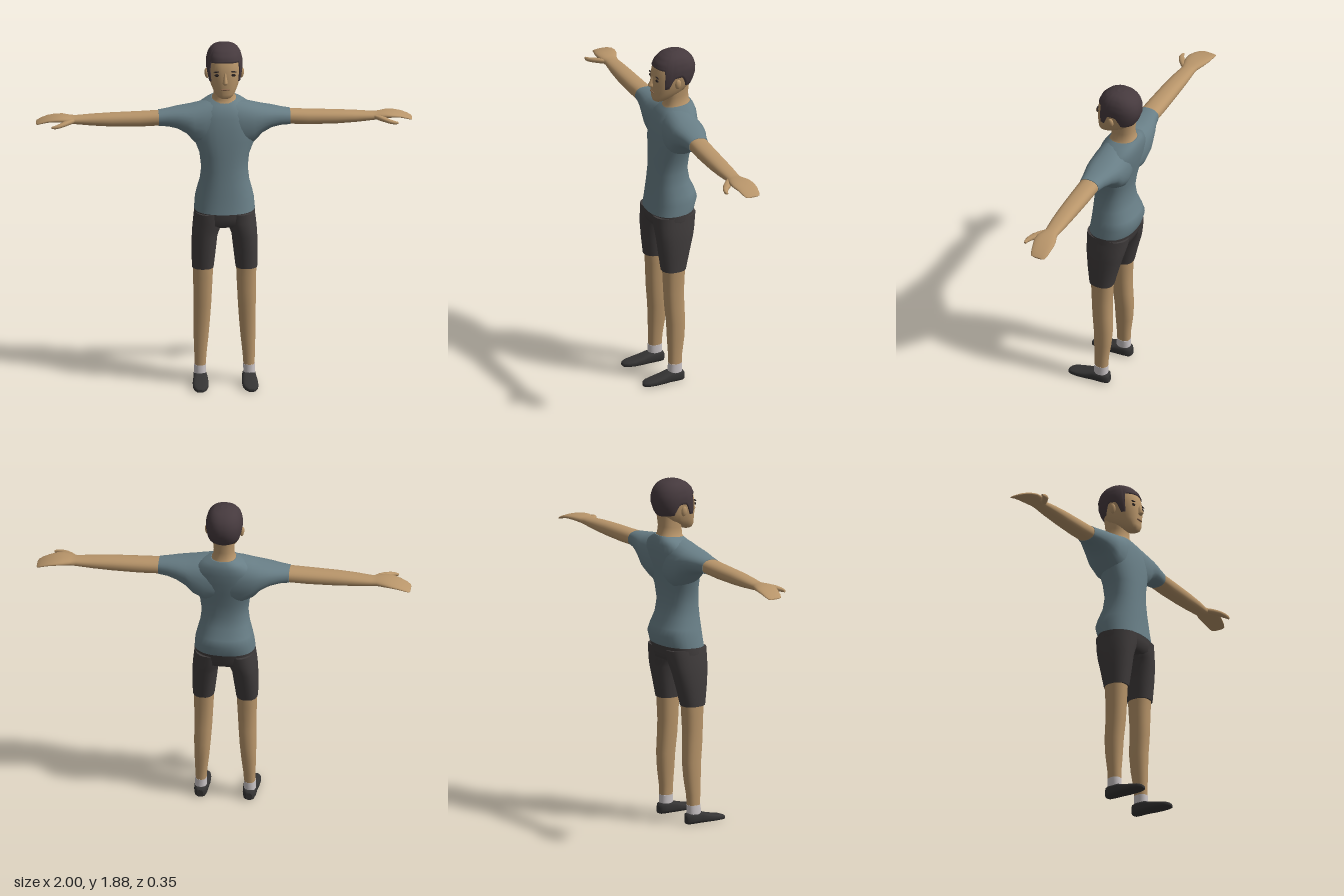
import * as THREE from 'three';

const mat = (color) => new THREE.MeshStandardMaterial({ color, roughness: 0.9 });
const SKIN = mat(0xb8956a), SHIRT = mat(0x687e86), SHORTS = mat(0x403c3c);
const HAIR = mat(0x463a3e), SHOE = mat(0x353434), SOCK = mat(0xcac4c6), DARK = mat(0x2e2624), LIP = mat(0x8d6a4e);

const pow = (v, n) => Math.sign(v) * Math.abs(v) ** (2 / n);

// Grid of points (rows x seg, closed around) to an indexed, optionally capped geometry
function skin(rows, caps = true) {
  const seg = rows[0].length, pos = [], idx = [];
  rows.forEach((r) => r.forEach((p) => pos.push(...p)));
  for (let i = 0; i < rows.length - 1; i++) {
    for (let j = 0; j < seg; j++) {
      const a = i * seg + j, b = i * seg + (j + 1) % seg;
      idx.push(a, a + seg, b, b, a + seg, b + seg);
    }
  }
  if (caps) {
    [rows[0], rows[rows.length - 1]].forEach((r, end) => {
      const c = pos.length / 3;
      pos.push(...[0, 1, 2].map((k) => r.reduce((s, p) => s + p[k], 0) / seg));
      r.forEach((p) => pos.push(...p));
      for (let j = 0; j < seg; j++) {
        const a = c + 1 + j, b = c + 1 + (j + 1) % seg;
        idx.push(c, end ? b : a, end ? a : b);
      }
    });
  }
  const g = new THREE.BufferGeometry();
  g.setAttribute('position', new THREE.Float32BufferAttribute(pos, 3));
  g.setIndex(idx);
  g.computeVertexNormals();
  return g;
}

// Rounded cross-sections along an axis; a row is [t, min1, max1, min2, max2]
// with extents (x,z) for axis y, (y,z) for axis x and (x,y) for axis z
function loft(axis, rows, { n = 2.3, seg = 24, tilt = 0 } = {}) {
  return skin(rows.map(([t, a0, a1, b0, b1]) => Array.from({ length: seg }, (_, j) => {
    const th = j / seg * Math.PI * 2, c = pow(Math.cos(th), n), s = pow(Math.sin(th), n);
    const mid = (lo, hi, k) => (lo + hi) / 2 + (hi - lo) / 2 * k;
    if (axis === 'y') return [mid(a0, a1, c), t + tilt * s, mid(b0, b1, s)];
    if (axis === 'x') return [t, mid(a0, a1, s), mid(b0, b1, c)];
    return [mid(a0, a1, s), mid(b0, b1, c), t];
  })));
}

function mirrored(geo) {
  const g = geo.clone().scale(-1, 1, 1), a = g.index.array;
  for (let i = 0; i < a.length; i += 3) [a[i], a[i + 1]] = [a[i + 1], a[i]];
  g.computeVertexNormals();
  return g;
}

// Symmetric rows: [y, half width, back z, front z]
const sym = (rows) => rows.map(([y, w, z0, z1]) => [y, -w, w, z0, z1]);

const HEAD = [
  [1.598, 0.022, 0.01, 0.052], [1.605, 0.036, -0.01, 0.062], [1.625, 0.054, -0.045, 0.067],
  [1.66, 0.072, -0.115, 0.068], [1.70, 0.084, -0.148, 0.07], [1.75, 0.091, -0.166, 0.067],
  [1.79, 0.091, -0.167, 0.058], [1.825, 0.082, -0.155, 0.042], [1.85, 0.066, -0.132, 0.015],
  [1.864, 0.044, -0.105, -0.015], [1.87, 0.012, -0.07, -0.045]];
const HEAD_N = 2.3;

function headAt(y) {
  let i = 0;
  while (i < HEAD.length - 2 && HEAD[i + 1][0] < y) i++;
  const k = (y - HEAD[i][0]) / (HEAD[i + 1][0] - HEAD[i][0]);
  const [, w, z0, z1] = HEAD[i].map((v, m) => v + (HEAD[i + 1][m] - v) * k);
  return { w, cz: (z0 + z1) / 2, rz: (z1 - z0) / 2 };
}
const faceZ = (x, y) => {
  const { w, cz, rz } = headAt(y);
  return cz + rz * (1 - Math.abs(x / w) ** HEAD_N) ** (1 / HEAD_N);
};

// Hairline height by angle from the face: fringe, sideburn, ear gap, nape
const HAIRLINE = [[0, 1.80], [0.92, 1.795], [0.98, 1.69], [1.28, 1.69], [1.36, 1.75],
  [1.68, 1.755], [2.05, 1.695], [Math.PI, 1.685]];
function hairline(f) {
  let i = 0;
  while (i < HAIRLINE.length - 2 && HAIRLINE[i + 1][0] < f) i++;
  const [f0, y0] = HAIRLINE[i], [f1, y1] = HAIRLINE[i + 1];
  return y0 + (y1 - y0) * (f - f0) / (f1 - f0);
}
function hairGeometry() {
  const seg = 80, rows = [];
  for (let i = 0; i <= 14; i++) {
    const v = Math.max(0, i - 1) / 13, puff = i ? 0.006 : -0.002;
    rows.push(Array.from({ length: seg }, (_, j) => {
      const th = j / seg * Math.PI * 2, c = pow(Math.cos(th), HEAD_N), s = pow(Math.sin(th), HEAD_N);
      const f = Math.acos(Math.sin(th)), base = hairline(f);
      const y = base + (1.87 - base) * (1 - (1 - v) ** 1.6);
      const { w, cz, rz } = headAt(y);
      return [(w + puff) * c, y + puff * v, cz + (rz + puff) * s];
    }));
  }
  return skin(rows);
}

export function createModel() {
  const model = new THREE.Group();
  const add = (name, geo, material, parent = model) => {
    const m = new THREE.Mesh(geo, material);
    m.name = name;
    parent.add(m);
    return m;
  };
  const pair = (name, geo, material, parent) => {
    add('left' + name, geo, material, parent);
    add('right' + name, mirrored(geo), material, parent);
  };
  const ball = (sx, sy, sz, x, y, z, rot = 0) =>
    new THREE.SphereGeometry(1, 14, 10).scale(sx, sy, sz).rotateZ(rot).translate(x, y, z);

  // Shirt
  add('shirtBody', loft('y', sym([
    [0.972, 0.162, -0.152, 0.1], [1.03, 0.157, -0.17, 0.092], [1.07, 0.148, -0.157, 0.088],
    [1.13, 0.132, -0.13, 0.082], [1.2, 0.124, -0.119, 0.076], [1.28, 0.133, -0.128, 0.072],
    [1.36, 0.165, -0.144, 0.068], [1.43, 0.182, -0.158, 0.06], [1.49, 0.175, -0.166, 0.049],
    [1.53, 0.145, -0.166, 0.034], [1.555, 0.105, -0.16, 0.012], [1.572, 0.068, -0.15, -0.005]]),
  { seg: 32, tilt: -0.008 }), SHIRT);
  pair('Sleeve', loft('x', [
    [0.04, 1.3, 1.565, -0.15, 0.045], [0.1, 1.3, 1.557, -0.16, 0.05], [0.16, 1.335, 1.543, -0.158, 0.048],
    [0.2, 1.382, 1.534, -0.15, 0.042], [0.25, 1.412, 1.526, -0.135, 0.03],
    [0.3, 1.424, 1.517, -0.115, 0.018], [0.35, 1.427, 1.51, -0.102, 0.01]]), SHIRT);

  // Arms, hands and thumbs
  pair('Arm', loft('x', [
    [0.33, 1.43, 1.508, -0.1, 0.008], [0.45, 1.425, 1.503, -0.098, 0.008], [0.6, 1.427, 1.498, -0.095, 0.004],
    [0.7, 1.433, 1.492, -0.093, -0.002], [0.79, 1.441, 1.484, -0.089, -0.012],
    [0.82, 1.446, 1.486, -0.094, -0.006], [0.86, 1.453, 1.489, -0.112, 0.002],
    [0.9, 1.456, 1.484, -0.121, 0], [0.94, 1.452, 1.475, -0.122, -0.012],
    [0.975, 1.443, 1.461, -0.119, -0.022], [0.995, 1.437, 1.449, -0.112, -0.032],
    [1, 1.438, 1.444, -0.1, -0.045]]), SKIN);
  pair('Thumb', loft('x', [
    [0.79, 1.455, 1.475, -0.04, -0.018], [0.82, 1.45, 1.476, -0.03, 0.012], [0.85, 1.446, 1.472, -0.015, 0.036],
    [0.88, 1.442, 1.465, 0.016, 0.05], [0.905, 1.44, 1.459, 0.033, 0.053],
    [0.922, 1.443, 1.454, 0.037, 0.048]], { seg: 14 }), SKIN);

  // Shorts
  add('shortsHips', loft('y', sym([
    [0.885, 0.12, -0.1, 0.07], [0.9, 0.163, -0.132, 0.09], [0.94, 0.164, -0.142, 0.096],
    [0.98, 0.16, -0.15, 0.097]]), { seg: 32 }), SHORTS);
  pair('ShortsLeg', loft('y', [
    [0.65, 0.058, 0.174, -0.071, 0.064], [0.75, 0.046, 0.176, -0.095, 0.077],
    [0.83, 0.037, 0.174, -0.117, 0.086], [0.87, 0.022, 0.171, -0.127, 0.09],
    [0.91, 0.002, 0.167, -0.135, 0.093], [0.96, 0, 0.16, -0.142, 0.094]]), SHORTS);

  // Legs, socks and shoes
  pair('Leg', loft('y', [
    [0.09, 0.101, 0.16, -0.043, 0.029], [0.16, 0.096, 0.161, -0.047, 0.03], [0.25, 0.086, 0.164, -0.06, 0.034],
    [0.34, 0.078, 0.166, -0.066, 0.037], [0.44, 0.071, 0.166, -0.062, 0.046],
    [0.52, 0.067, 0.166, -0.06, 0.05], [0.6, 0.063, 0.168, -0.064, 0.053],
    [0.67, 0.061, 0.17, -0.068, 0.057]]), SKIN);
  pair('Sock', loft('y', [[0.04, 0.1, 0.163, -0.046, 0.034], [0.104, 0.099, 0.162, -0.045, 0.031]]), SOCK);
  pair('Shoe', loft('z', [
    [-0.056, 0.115, 0.148, 0.004, 0.045], [-0.046, 0.1, 0.16, 0, 0.06], [-0.02, 0.094, 0.166, 0, 0.066],
    [0.03, 0.091, 0.168, 0, 0.062], [0.07, 0.089, 0.173, 0, 0.048], [0.12, 0.091, 0.175, 0, 0.036],
    [0.155, 0.099, 0.17, 0, 0.03], [0.175, 0.113, 0.16, 0, 0.023], [0.181, 0.125, 0.15, 0.004, 0.016]],
  { n: 3 }), SHOE);

  // Neck with the skin shown inside the collar
  add('neck', loft('y', sym([
    [1.545, 0.086, -0.155, 0.016], [1.562, 0.073, -0.15, 0.004], [1.58, 0.058, -0.14, -0.006],
    [1.62, 0.054, -0.135, -0.008], [1.7, 0.06, -0.145, 0]]), { tilt: -0.008 }), SKIN);

  // Head, hair and face
  const head = new THREE.Group();
  head.name = 'head';
  model.add(head);
  add('skull', loft('y', sym(HEAD), { seg: 40, n: HEAD_N }), SKIN, head);
  add('hair', hairGeometry(), HAIR, head);
  pair('Ear', ball(0.011, 0.028, 0.017, 0.094, 1.715, -0.042, -0.12), SKIN, head);
  pair('Eye', ball(0.016, 0.008, 0.005, 0.041, 1.733, faceZ(0.041, 1.733) - 0.001), DARK, head);
  pair('Eyebrow', ball(0.02, 0.004, 0.005, 0.042, 1.752, faceZ(0.042, 1.752), -0.08), DARK, head);
  add('nose', loft('y', [
    [1.684, -0.011, 0.011, 0.05, 0.08], [1.69, -0.015, 0.015, 0.05, 0.089], [1.698, -0.013, 0.013, 0.05, 0.092],
    [1.72, -0.009, 0.009, 0.05, 0.08], [1.748, -0.007, 0.007, 0.05, 0.067]], { seg: 12, n: 2 }), SKIN, head);
  add('mouth', ball(0.025, 0.005, 0.006, 0, 1.655, faceZ(0, 1.655)), LIP, head);
  return model;
}
